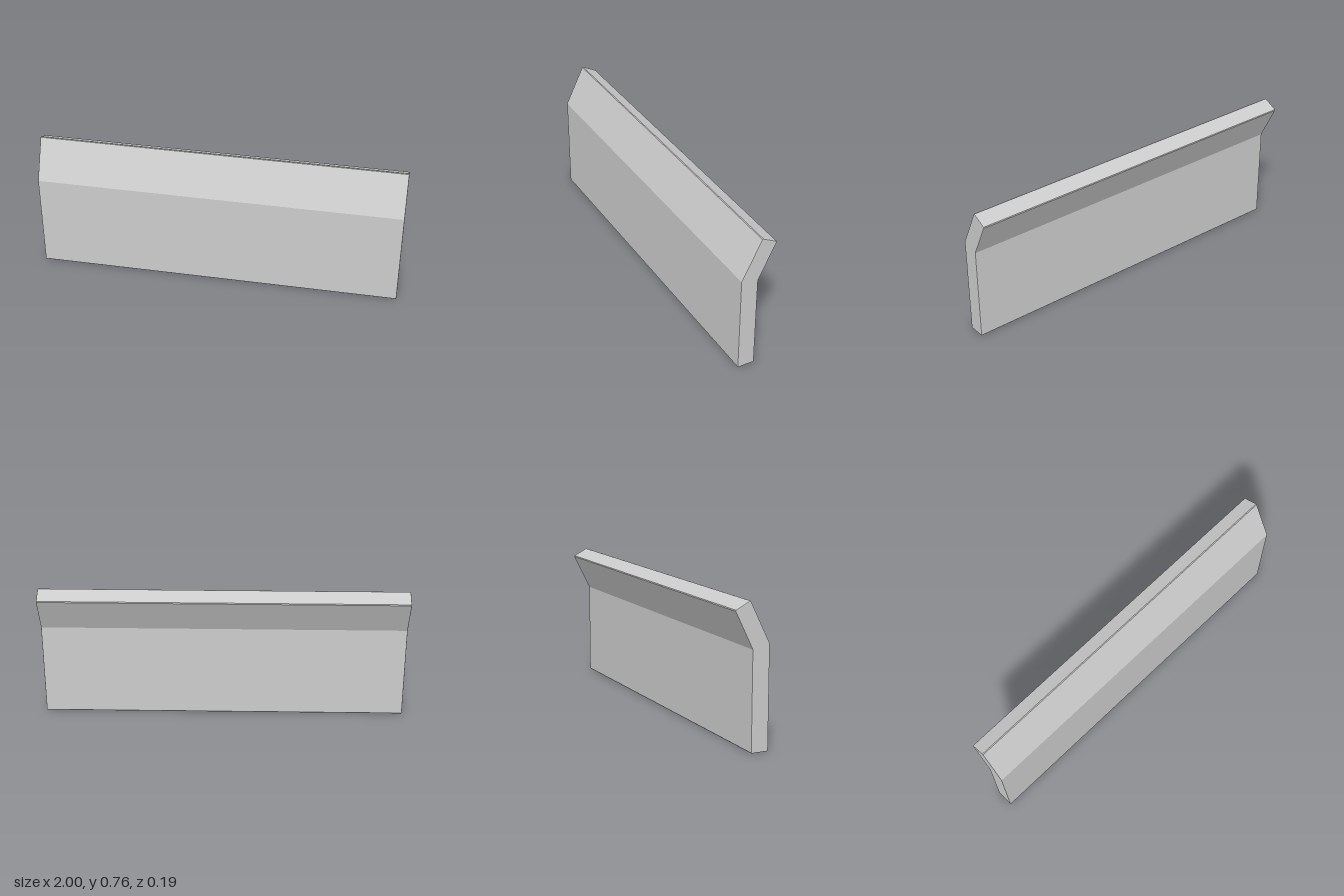
import * as THREE from 'three';

const BEVEL = 0.004;

// Side profile as [z, y]; the last value marks corners that are chamfered
const PROFILE = [
  [0.097, 0, true],
  [0.097, 0.541, false],
  [-0.013, 0.76, true],
  [-0.097, 0.717, true],
  [0.002, 0.519, false],
  [0.002, 0, true],
];

function profileShape() {
  const corners = PROFILE.map(([z, y]) => new THREE.Vector2(-z, y));
  const n = corners.length;
  const points = [];
  corners.forEach((p, i) => {
    if (!PROFILE[i][2]) return points.push(p);
    for (const q of [corners[(i + n - 1) % n], corners[(i + 1) % n]]) {
      points.push(q.clone().sub(p).setLength(BEVEL).add(p));
    }
  });
  return new THREE.Shape(points);
}

export function createModel() {
  const group = new THREE.Group();
  group.name = 'bentPanel';

  // Long panel with its upper part leaning back, edges finely bevelled
  const depth = 2 - 2 * BEVEL;
  const geometry = new THREE.ExtrudeGeometry(profileShape(), {
    depth,
    bevelEnabled: true,
    bevelSize: BEVEL,
    bevelThickness: BEVEL,
    bevelOffset: -BEVEL,
    bevelSegments: 2,
  });
  geometry.translate(0, 0, -depth / 2);
  geometry.rotateY(Math.PI / 2);

  const panel = new THREE.Mesh(geometry, new THREE.MeshStandardMaterial({ color: 0xcccccc }));
  panel.name = 'panel';
  group.add(panel);
  return group;
}
